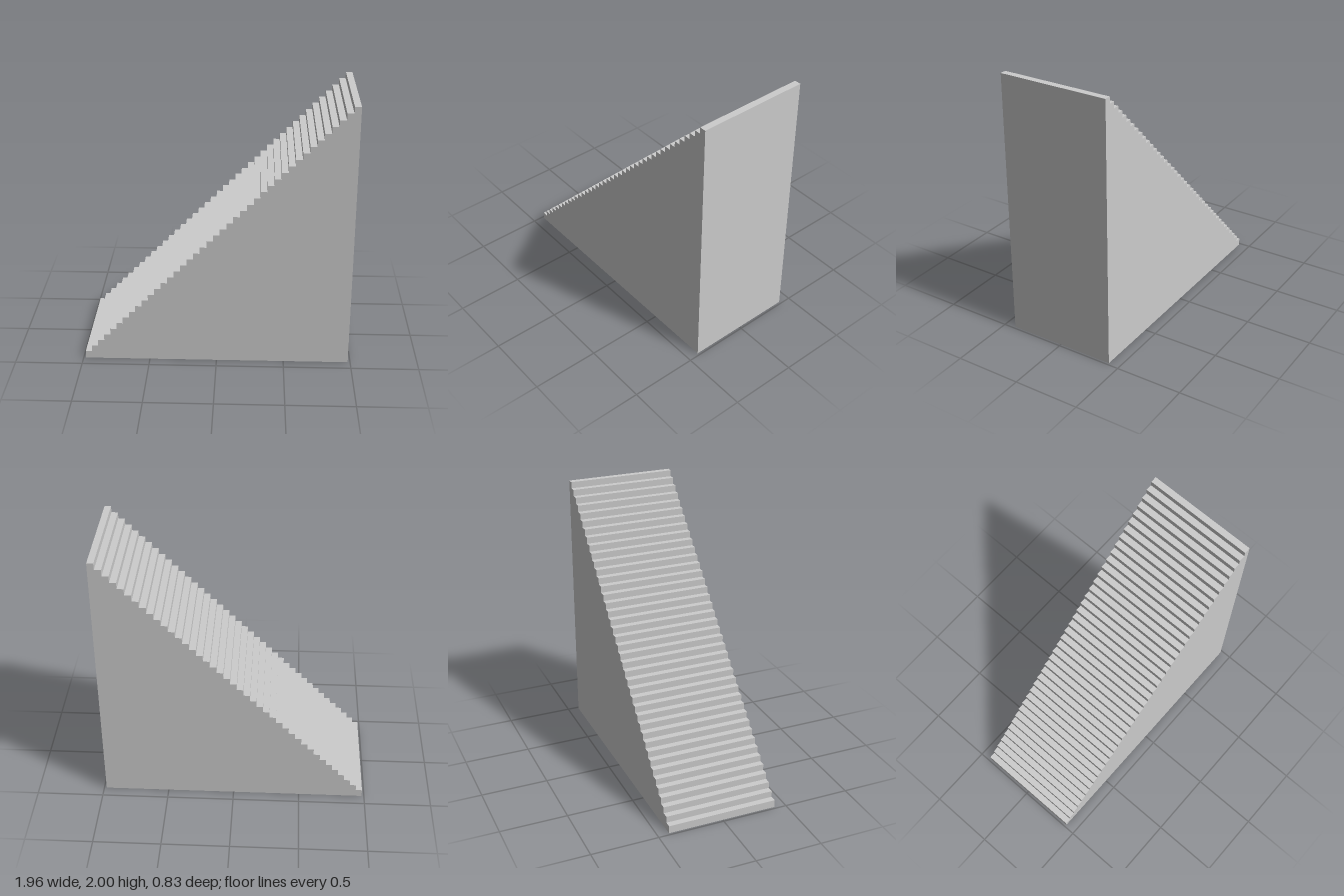
import * as THREE from 'three';
import { mergeGeometries } from 'three/addons/utils/BufferGeometryUtils.js';

const STEPS = 41;
const HALF_X = 0.982;
const HALF_Z = 0.415;
const HEIGHT = 2;
const FIRST_RISE = 0.058;
const RUN = (2 * HALF_X) / STEPS;
const RISE = (HEIGHT - FIRST_RISE) / (STEPS - 1);

const stepX = (i) => -HALF_X + i * RUN;
const stepY = (i) => FIRST_RISE + i * RISE;

// Upright panel across the width, facing -x (turn = -1) or +x (turn = 1)
function uprightPanel(x, y0, y1, turn) {
  return new THREE.PlaneGeometry(2 * HALF_Z, y1 - y0)
    .rotateY((turn * Math.PI) / 2)
    .translate(x, (y0 + y1) / 2, 0);
}

// Level panel facing up
function treadPanel(x, y) {
  return new THREE.PlaneGeometry(RUN, 2 * HALF_Z)
    .rotateX(-Math.PI / 2)
    .translate(x + RUN / 2, y, 0);
}

export function createModel() {
  const group = new THREE.Group();
  group.name = 'staircase';
  const material = new THREE.MeshStandardMaterial({
    color: 0xcccccc, flatShading: true, side: THREE.DoubleSide,
  });

  const add = (name, geometry) => {
    const mesh = new THREE.Mesh(geometry, material);
    mesh.name = name;
    group.add(mesh);
    return mesh;
  };

  // Stepped outline of the side walls, with the treads and risers along it
  const outline = new THREE.Shape();
  outline.moveTo(HALF_X, 0);
  outline.lineTo(HALF_X, HEIGHT);
  const treads = [];
  const risers = [];
  for (let i = STEPS - 1; i >= 0; i--) {
    const below = i > 0 ? stepY(i - 1) : 0;
    outline.lineTo(stepX(i), stepY(i));
    outline.lineTo(stepX(i), below);
    treads.push(treadPanel(stepX(i), stepY(i)));
    risers.push(uprightPanel(stepX(i), below, stepY(i), -1));
  }
  outline.closePath();

  add('treads', mergeGeometries(treads));
  add('risers', mergeGeometries(risers));

  // Side walls, mirrored; the underside stays open
  const wall = new THREE.ShapeGeometry(outline).translate(0, 0, HALF_Z);
  add('frontWall', wall);
  add('backWall', wall).scale.z = -1;

  // Tall wall under the top step
  add('endWall', uprightPanel(HALF_X, 0, HEIGHT, 1));

  return group;
}
